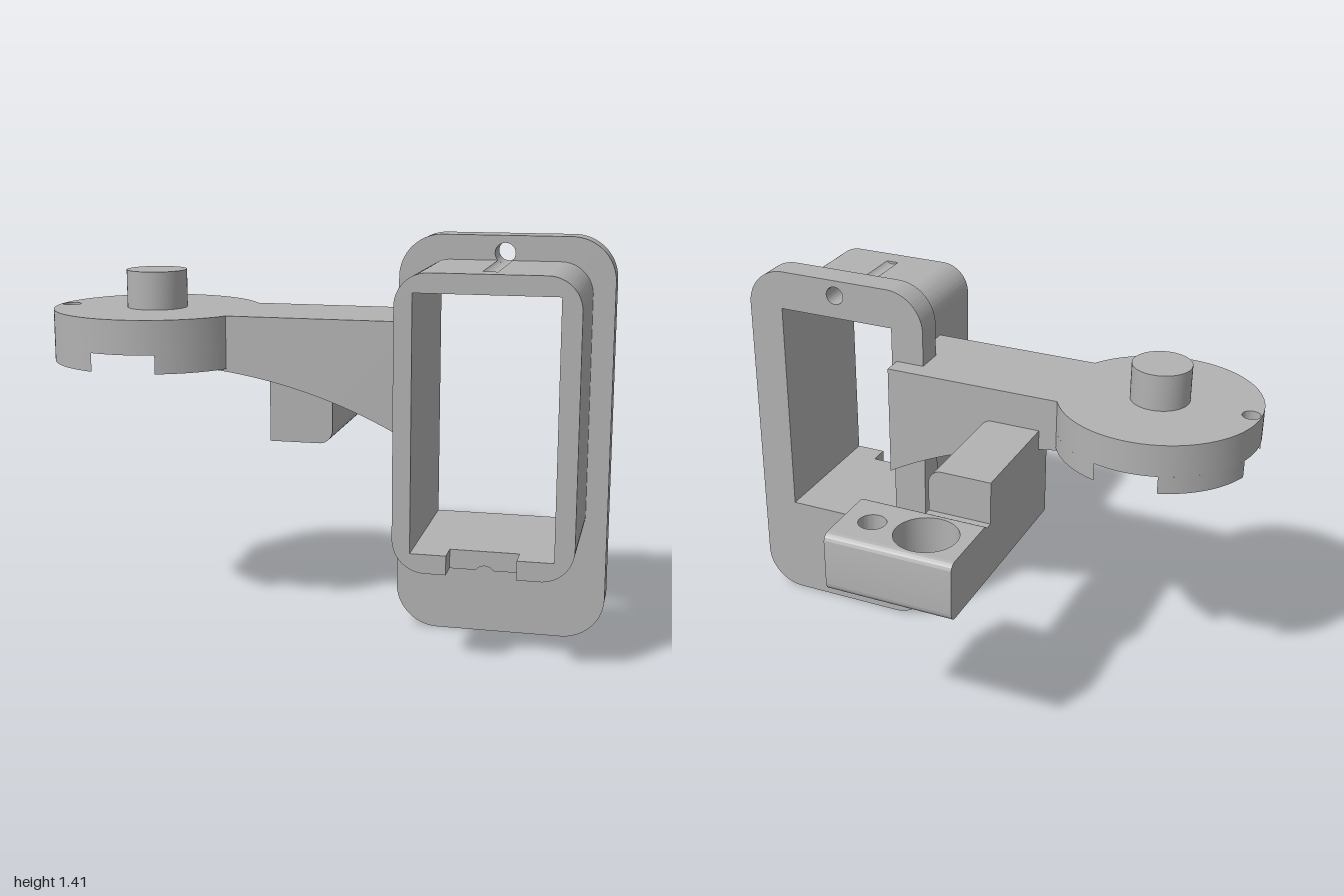
import * as THREE from 'three';
import { toCreasedNormals } from 'three/addons/utils/BufferGeometryUtils.js';

const PI = Math.PI;

export function createModel() {
  const group = new THREE.Group();
  group.name = 'mountingBracket';
  const grey = new THREE.MeshStandardMaterial({ color: 0xb2b2b2 });
  grey.name = 'plain grey';

  const add = (name, geometry) => {
    const mesh = new THREE.Mesh(toCreasedNormals(geometry, 0.5), grey);
    mesh.name = name;
    group.add(mesh);
    return mesh;
  };
  const extrude = (shape, depth) =>
    new THREE.ExtrudeGeometry(shape, { depth, bevelEnabled: false, curveSegments: 24 });
  // Extrusions along each axis; plan shapes use (x, -z), side shapes use (-z, y)
  const alongZ = (name, shape, z0, z1) => add(name, extrude(shape, z1 - z0).translate(0, 0, z0));
  const alongY = (name, shape, y0, y1) =>
    add(name, extrude(shape, y1 - y0).rotateX(-PI / 2).translate(0, y0, 0));
  const alongX = (name, shape, x0, x1) =>
    add(name, extrude(shape, x1 - x0).rotateY(PI / 2).translate(x0, 0, 0));

  const circle = (x, y, r) => new THREE.Path().absarc(x, y, r, 0, 2 * PI, false);
  // Rectangle with a radius per corner: bottom left, bottom right, top right, top left
  const rect = (x0, y0, x1, y1, bl = 0, br = bl, tr = bl, tl = bl) => {
    const s = new THREE.Shape();
    s.moveTo(x0 + bl, y0).lineTo(x1 - br, y0);
    if (br) s.absarc(x1 - br, y0 + br, br, -PI / 2, 0, false);
    s.lineTo(x1, y1 - tr);
    if (tr) s.absarc(x1 - tr, y1 - tr, tr, 0, PI / 2, false);
    s.lineTo(x0 + tl, y1);
    if (tl) s.absarc(x0 + tl, y1 - tl, tl, PI / 2, PI, false);
    s.lineTo(x0, y0 + bl);
    if (bl) s.absarc(x0 + bl, y0 + bl, bl, PI, 1.5 * PI, false);
    return s;
  };

  // Flange plate with window and two screw holes
  const cx = 0.626, holeR = 0.035, topHoleY = 1.35, lowHoleY = 0.32;
  const opening = () => rect(0.39, 0.405, 0.86, 1.26);
  const plate = rect(0.26, 0, 1, 1.41, 0.15);
  plate.holes.push(opening(), circle(cx, topHoleY, holeR), circle(cx, lowHoleY, holeR));
  alongZ('flangePlate', plate, 0.135, 0.245);

  // Sleeve: grooved tube behind, notched rim in front
  const L = 0.33, R = 0.925, B = 0.34, T = 1.325, r = 0.11;
  const sides = (s, topDetail) => {
    s.lineTo(R - r, B).absarc(R - r, B + r, r, -PI / 2, 0, false);
    s.lineTo(R, T - r).absarc(R - r, T - r, r, 0, PI / 2, false);
    if (topDetail) topDetail();
    s.lineTo(L + r, T).absarc(L + r, T - r, r, PI / 2, PI, false);
    s.lineTo(L, B + r).absarc(L + r, B + r, r, PI, 1.5 * PI, false);
  };
  const a = Math.asin((B - lowHoleY) / holeR);
  const b = Math.asin((topHoleY - T) / holeR);
  const tube = new THREE.Shape();
  tube.moveTo(cx - holeR * Math.cos(a), B).absarc(cx, lowHoleY, holeR, PI - a, a, true);
  sides(tube, () => tube.absarc(cx, topHoleY, holeR, -b, b - PI, true));
  tube.closePath();
  tube.holes.push(opening());
  alongZ('sleeve', tube, 0.245, 0.61);

  const rim = new THREE.Shape();
  rim.moveTo(0.74, B);
  sides(rim);
  for (const [x, y] of [[0.51, B], [0.51, 0.405], [0.39, 0.405], [0.39, 1.26],
    [0.86, 1.26], [0.86, 0.405], [0.74, 0.405]]) rim.lineTo(x, y);
  alongZ('sleeveRim', rim, 0.61, 0.69);

  // Arm with a curved underside
  const arm = new THREE.Shape();
  arm.moveTo(-0.4, 0.945).quadraticCurveTo(0.015, 0.908, 0.37, 0.7);
  arm.lineTo(0.37, 1.13).lineTo(-0.4, 1.13);
  alongZ('arm', arm, 0.06, 0.43);

  // Round head: disc with pin hole, knob, and four pads left by crossing slots
  const hx = -0.63, hz = 0.24, hr = 0.37, slot = 0.115;
  const disc = new THREE.Shape().absarc(hx, -hz, hr, 0, 2 * PI, false);
  disc.holes.push(circle(-0.963, -hz, 0.033));
  const discMesh = new THREE.ExtrudeGeometry(disc, { depth: 0.12, bevelEnabled: false, curveSegments: 64 });
  add('headDisc', discMesh.rotateX(-PI / 2).translate(0, 1.01, 0));
  add('knob', new THREE.CylinderGeometry(0.108, 0.108, 0.135, 48).translate(hx, 1.1975, hz));
  const t = Math.asin(slot / hr);
  for (let i = 0; i < 4; i++) {
    const pad = new THREE.Shape();
    pad.moveTo(slot, slot).absarc(0, 0, hr, t, PI / 2 - t, false);
    pad.closePath();
    add('headPad', extrude(pad, 0.065).rotateX(-PI / 2).rotateY(i * PI / 2).translate(hx, 0.945, hz));
  }

  // Rear beam, stepped down where it meets the end block
  alongZ('rearBeam', rect(-0.24, 0.63, -0.005, 1, 0, 0.05, 0.05, 0), -0.37, 0.14);
  alongZ('rearBeamStep', rect(-0.24, 0.63, -0.005, 0.84, 0, 0.05, 0, 0), -0.43, -0.37);

  // End block: blind round pocket, through hole, rounded long edges
  const bx0 = -0.24, bx1 = 0.235, by0 = 0.63, by1 = 0.853, floorY = 0.7, e = 0.03;
  const core = (pocket) => {
    const s = rect(bx0, 0.425, bx1, 0.66);
    s.holes.push(circle(0.125, 0.545, 0.05));
    if (pocket) s.holes.push(circle(-0.08, 0.545, 0.114));
    return s;
  };
  alongY('endBlockBase', core(false), by0, floorY);
  alongY('endBlockTop', core(true), floorY, by1);
  alongX('endBlockRearEdge', rect(0.66, by0, 0.69, by1, 0, e, e, 0), bx0, bx1);
  alongX('endBlockInnerEdge', rect(0.395, by0, 0.425, by1, e, 0, 0, e), bx0, bx1);

  return group;
}
